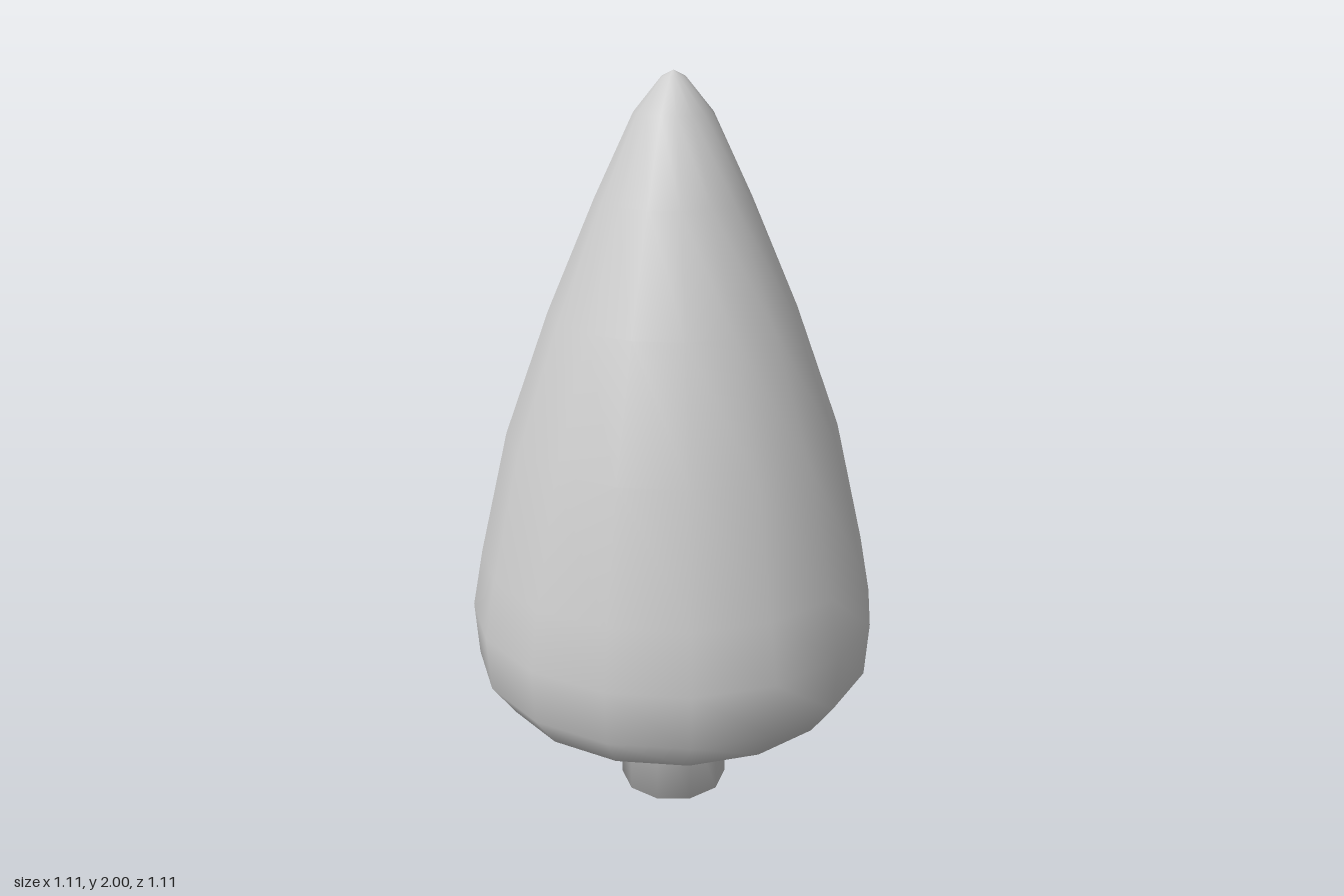
import * as THREE from 'three';

// Smooth-shaded solid of revolution; profile is [radius, height] from bottom to top
function turned(name, profile, sides) {
  const points = profile.map(([r, y]) => new THREE.Vector2(r, y));
  const mesh = new THREE.Mesh(
    new THREE.LatheGeometry(points, sides),
    new THREE.MeshStandardMaterial({ color: 0xcccccc })
  );
  mesh.name = name;
  return mesh;
}

export function createModel() {
  const tree = new THREE.Group();
  tree.name = 'tree';

  // Pointed crown with a rounded underside
  tree.add(turned('foliage', [
    [0, 0.253], [0.24, 0.253], [0.36, 0.275], [0.48, 0.33], [0.545, 0.42],
    [0.555, 0.57], [0.525, 0.73], [0.445, 1.07], [0.325, 1.4], [0.2, 1.69],
    [0.1, 1.9], [0.03, 1.985], [0, 2],
  ], 16));

  // Short ten-sided trunk, closed at the base
  tree.add(turned('trunk', [[0, 0], [0.15, 0], [0.15, 0.26]], 10));

  return tree;
}
